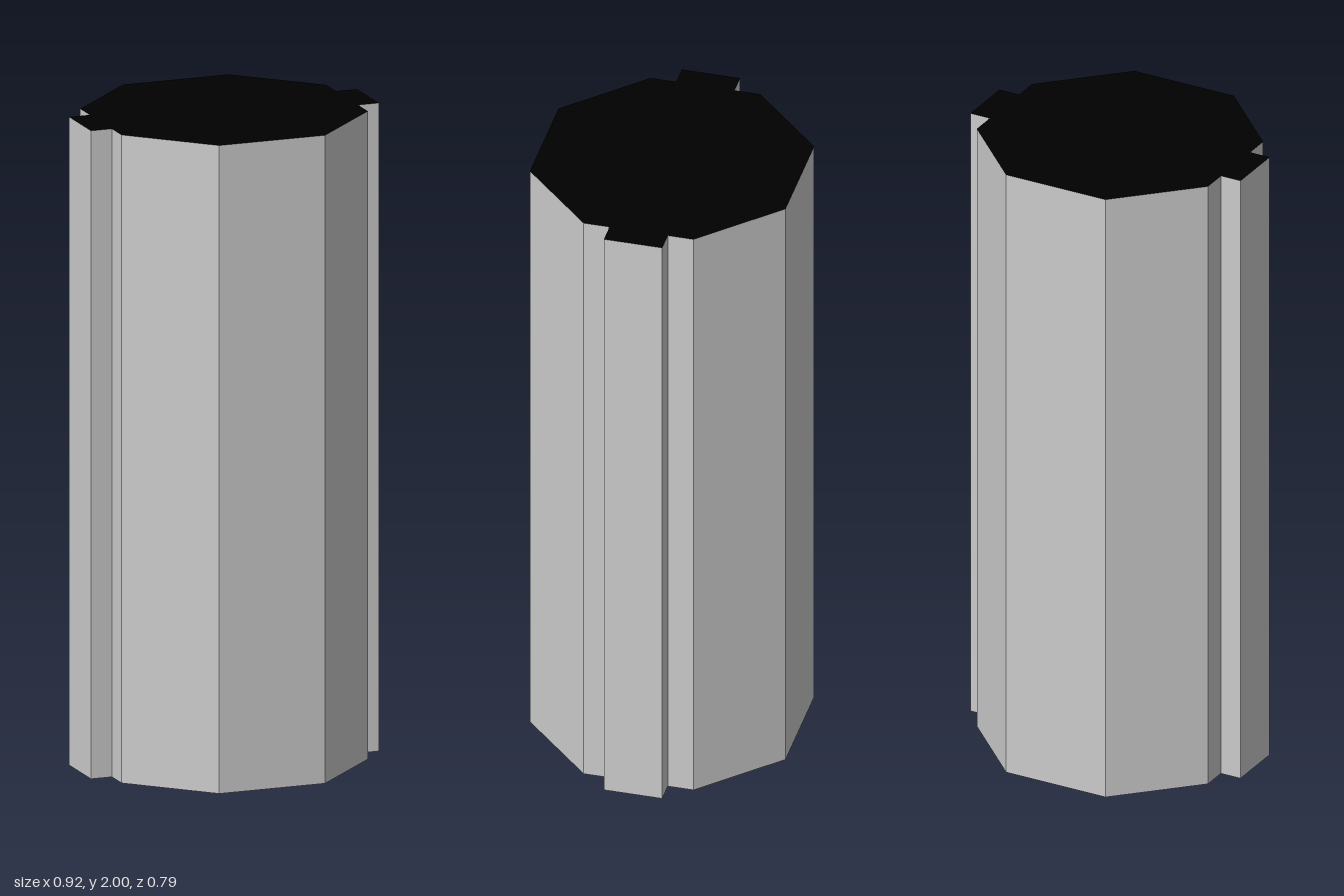
import * as THREE from 'three';

const HEIGHT = 2;
const grey = new THREE.MeshStandardMaterial({ color: 0xcccccc, flatShading: true });
const black = new THREE.MeshStandardMaterial({ color: 0x000000 });

// Upright walls along an outline of [x, z] points, counter-clockwise seen from above
function walls(outline, closed) {
  const pos = [];
  const count = closed ? outline.length : outline.length - 1;
  for (let i = 0; i < count; i++) {
    const [ax, az] = outline[i];
    const [bx, bz] = outline[(i + 1) % outline.length];
    pos.push(ax, 0, az, bx, 0, bz, bx, HEIGHT, bz);
    pos.push(ax, 0, az, bx, HEIGHT, bz, ax, HEIGHT, az);
  }
  const geo = new THREE.BufferGeometry();
  geo.setAttribute('position', new THREE.Float32BufferAttribute(pos, 3));
  geo.computeVertexNormals();
  return geo;
}

// Flat end face, turned up or down
function cap(outline, top) {
  const s = top ? -1 : 1;
  const shape = new THREE.Shape(outline.map(([x, z]) => new THREE.Vector2(x, s * z)));
  const geo = new THREE.ShapeGeometry(shape);
  geo.rotateX(s * Math.PI / 2);
  geo.translate(0, top ? HEIGHT : 0, 0);
  return geo;
}

function prism(name, outline, closed, bottomMaterial) {
  const group = new THREE.Group();
  group.name = name;
  const add = (part, geo, mat) => {
    const mesh = new THREE.Mesh(geo, mat);
    mesh.name = name + part;
    group.add(mesh);
  };
  add('Walls', walls(outline, closed), grey);
  add('Top', cap(outline, true), black);
  add('Bottom', cap(outline, false), bottomMaterial);
  return group;
}

export function createModel() {
  const model = new THREE.Group();
  model.name = 'octagonalColumn';

  // Eight-sided shaft
  const a = 0.395, c = 0.17;
  const octagon = [[a, c], [a, -c], [c, -a], [-c, -a], [-a, -c], [-a, c], [-c, a], [c, a]];
  model.add(prism('shaft', octagon, true, grey));

  // Full-height rib on each side
  const w = 0.09, out = 0.462;
  const rib = [[a, w], [out, w], [out, -w], [a, -w]];
  const leftRib = prism('leftRib', rib, false, black);
  const rightRib = prism('rightRib', rib, false, black);
  rightRib.rotation.y = Math.PI;
  model.add(leftRib, rightRib);

  return model;
}
